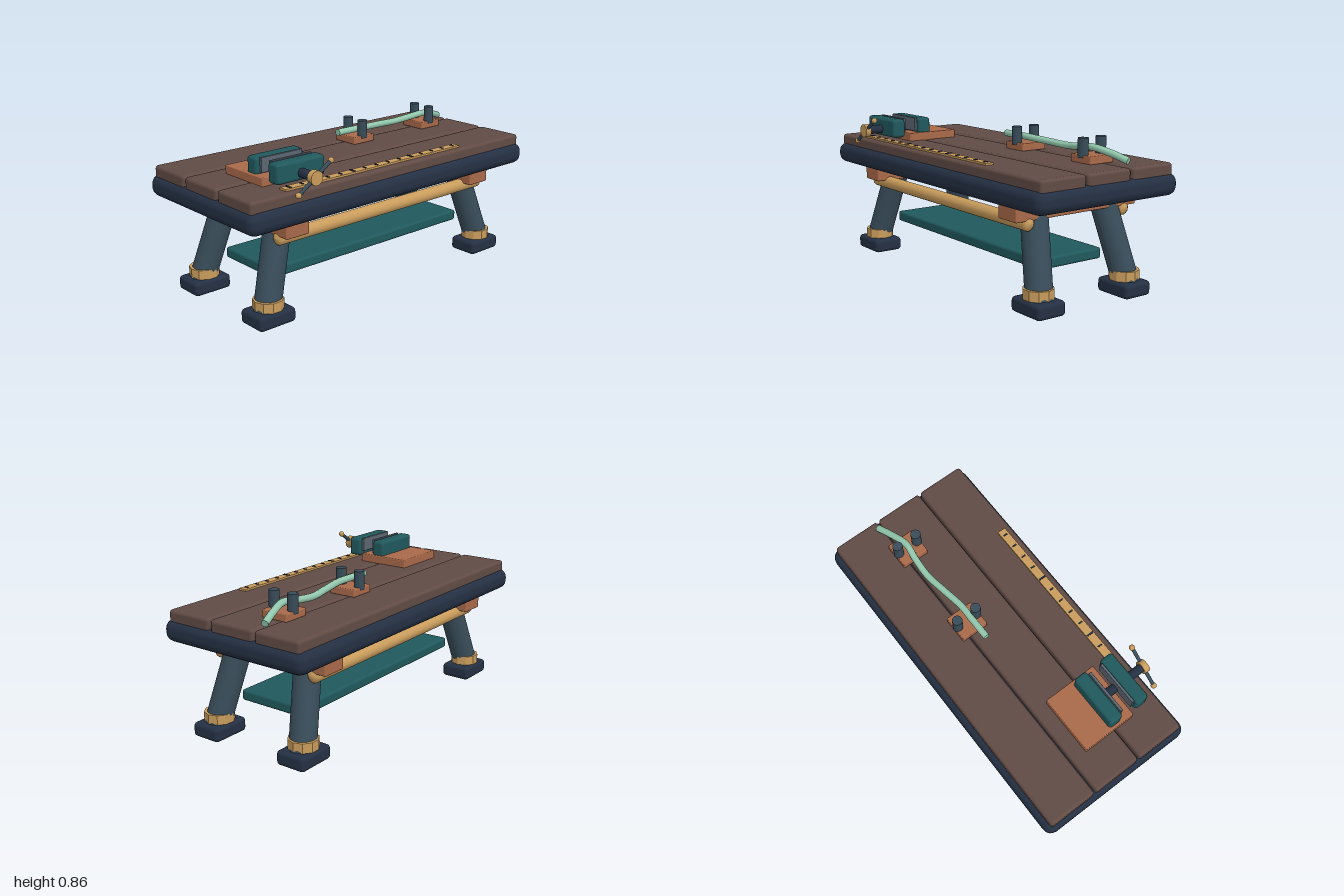
import * as THREE from 'three';
import { RoundedBoxGeometry } from 'three/addons/geometries/RoundedBoxGeometry.js';

const mat = (name, color, extra = {}) => {
  const m = new THREE.MeshStandardMaterial({ color, ...extra });
  m.name = name;
  return m;
};

export function createModel() {
  const navy = mat('navy', 0x243043);
  const wood = mat('brown wood', 0x614b45);
  const copper = mat('copper', 0xa9694a);
  const brass = mat('brass', 0xc99c5c);
  const brassFlat = mat('faceted brass', 0xc99c5c, { flatShading: true });
  const teal = mat('teal', 0x20595d);
  const slate = mat('slate', 0x384c59);
  const grey = mat('grey steel', 0x5c6772);
  const mint = mat('mint', 0x93c8ae);

  const model = new THREE.Group();
  model.name = 'workbench';
  const MID = -0.006; // bench centre line in z

  const add = (name, geo, material, x = 0, y = 0, z = 0, parent = model) => {
    const m = new THREE.Mesh(geo, material);
    m.name = name;
    m.position.set(x, y, z);
    parent.add(m);
    return m;
  };
  // rounded block given by its size and centre
  const block = (name, material, w, h, d, x, y, z, r = 0.01, seg = 2) =>
    add(name, new RoundedBoxGeometry(w, h, d, seg, r), material, x, y, z);
  // cylinder between two points
  const rod = (name, material, a, b, r, sides = 20) => {
    const p = new THREE.Vector3(...a), q = new THREE.Vector3(...b);
    const dir = q.clone().sub(p);
    const m = add(name, new THREE.CylinderGeometry(r, r, dir.length(), sides), material);
    m.position.copy(p).add(q).multiplyScalar(0.5);
    m.quaternion.setFromUnitVectors(new THREE.Vector3(0, 1, 0), dir.normalize());
    return m;
  };

  // Table top: dark frame with three planks
  block('topFrame', navy, 2, 0.12, 0.923, 0, 0.6, MID, 0.05, 2);
  for (const i of [-1, 0, 1])
    block('plank', wood, 1.955, 0.075, 0.28, 0, 0.675, MID - i * 0.291, 0.018);

  // Cross rails, long rods and lower shelf
  for (const s of [-1, 1]) {
    block('crossRail', copper, 0.147, 0.085, 0.797, s * 0.674, 0.505, MID, 0.008);
    const profile = [[0, -0.757], [0.022, -0.752], [0.037, -0.74], [0.037, 0.74], [0.022, 0.752], [0, 0.757]]
      .map(p => new THREE.Vector2(...p));
    const r = add('longRod', new THREE.LatheGeometry(profile, 14), brass, 0, 0.448, MID + s * 0.317);
    r.rotation.z = Math.PI / 2;
  }
  block('shelf', teal, 1.4, 0.061, 0.415, 0, 0.2125, MID, 0.015);

  // Splayed legs with collars and feet
  for (const sx of [-1, 1]) for (const sz of [-1, 1]) {
    rod('leg', slate, [sx * 0.803, 0.06, MID + sz * 0.293], [sx * 0.653, 0.56, MID + sz * 0.22], 0.072, 24);
    const collar = add('legCollar', new THREE.CylinderGeometry(0.082, 0.082, 0.053, 10),
      brassFlat, sx * 0.79, 0.107, MID + sz * 0.29);
    collar.rotation.y = Math.PI / 10;
    block('foot', navy, 0.228, 0.08, 0.178, sx * 0.79, 0.04, MID + sz * 0.29, 0.022);
  }

  // Vise
  const vx = -0.617;
  block('viseBase', copper, 0.335, 0.05, 0.315, vx, 0.733, 0.0975, 0.006);
  for (const [z, plateZ] of [[0.146, 0.194], [0.318, 0.271]]) {
    block('viseJaw', teal, 0.305, 0.107, 0.079, vx, 0.7885, z, 0.018);
    block('jawPlate', grey, 0.26, 0.08, 0.016, vx, 0.803, plateZ, 0.003, 1);
  }
  rod('viseScrew', navy, [vx, 0.775, 0.11], [vx, 0.775, 0.445], 0.025);
  rod('handleHub', brass, [vx, 0.772, 0.441], [vx, 0.772, 0.474], 0.038);
  const ends = [[-0.72, 0.702, 0.457], [-0.514, 0.841, 0.457]];
  rod('viseHandle', slate, ...ends, 0.01, 12);
  for (const e of ends) add('handleKnob', new THREE.SphereGeometry(0.016, 14, 10), brass, ...e);

  // Ruler with tick marks, every fifth one long
  add('ruler', new THREE.BoxGeometry(1.24, 0.012, 0.048), brass, -0.125, 0.717, 0.367);
  for (let i = 0; i < 15; i++) {
    const long = i % 5 === 0;
    add('rulerTick', new THREE.BoxGeometry(long ? 0.01 : 0.008, 0.005, long ? 0.042 : 0.024),
      navy, -0.71 + i * 0.0835, 0.7245, 0.367);
  }

  // Bending blocks, each with two pins
  for (const x of [0.165, 0.714]) {
    block('pinBlock', copper, 0.152, 0.042, 0.16, x, 0.732, -0.12, 0.006);
    for (const z of [-0.0585, -0.179])
      rod('bendingPin', slate, [x, 0.74, z], [x, 0.841, z], 0.028);
  }

  // Bent tube resting between the pins
  const path = new THREE.CatmullRomCurve3([
    [0.015, 0.785, -0.1], [0.14, 0.785, -0.1], [0.24, 0.784, -0.1], [0.38, 0.776, -0.12],
    [0.5, 0.769, -0.136], [0.62, 0.777, -0.132], [0.72, 0.787, -0.122], [0.83, 0.765, -0.15],
    [0.92, 0.736, -0.178],
  ].map(p => new THREE.Vector3(...p)));
  add('bentTube', new THREE.TubeGeometry(path, 60, 0.019, 12), mint);
  for (const [t, s] of [[0, -1], [1, 1]]) {
    const cap = add('tubeEnd', new THREE.CircleGeometry(0.019, 12), mint, ...path.getPoint(t).toArray());
    cap.quaternion.setFromUnitVectors(new THREE.Vector3(0, 0, 1), path.getTangent(t).multiplyScalar(s));
  }
  return model;
}
